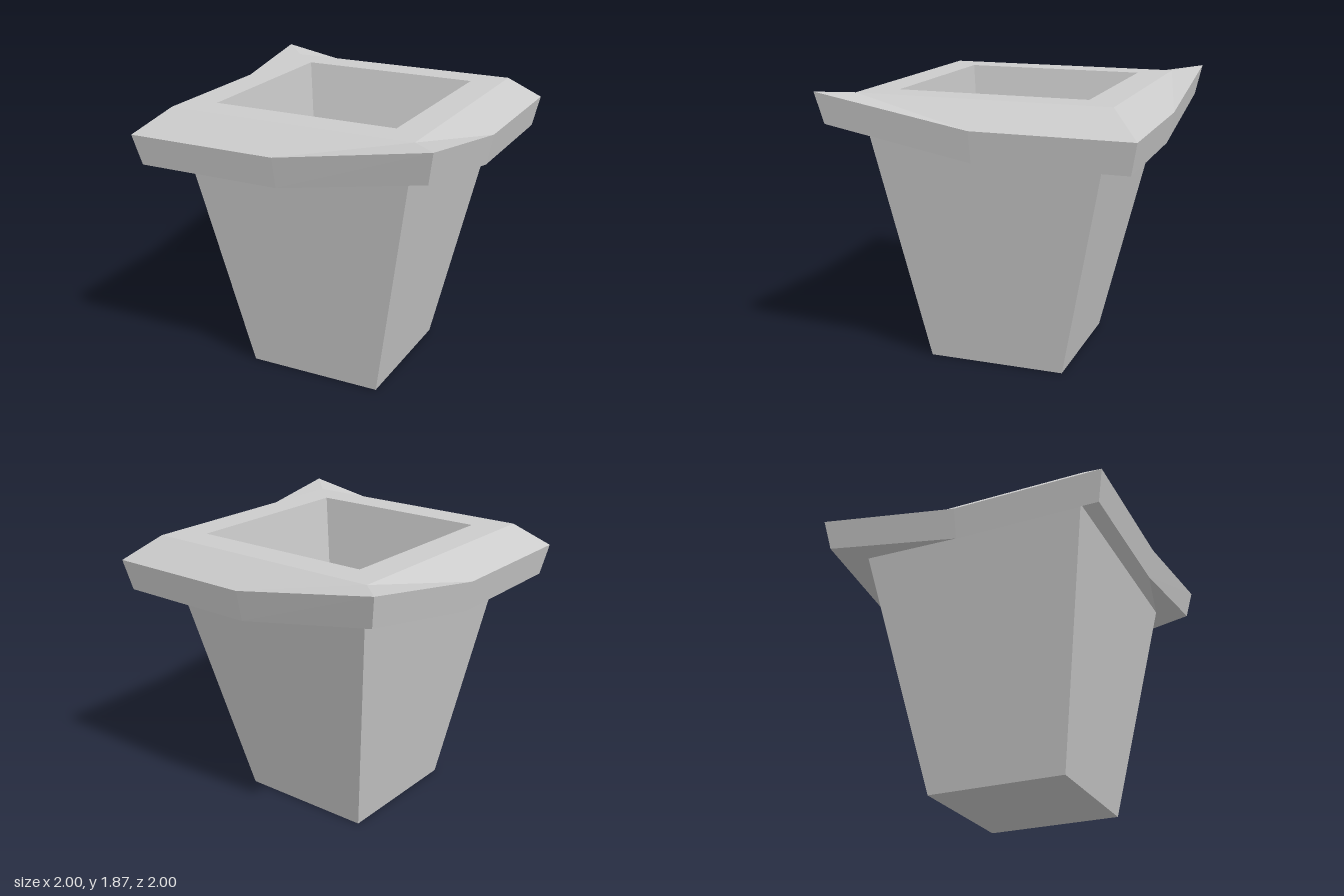
import * as THREE from 'three';

const V = (x, y, z) => new THREE.Vector3(x, y, z);

// Four corners, counter-clockwise from above, starting at front right
function rect(x0, x1, z0, z1, y) {
  return [V(x0, y, z1), V(x1, y, z1), V(x1, y, z0), V(x0, y, z0)];
}
const square = (s, y) => rect(-s, s, -s, s, y);

// Square ring whose corners 1 and 3 are lifted
function liftedRing(s, low, high) {
  return square(s, low).map((p, i) => V(p.x, i % 2 ? high : low, p.z));
}

function meshFrom(name, faces, material) {
  const pts = [];
  for (const f of faces)
    for (let i = 1; i < f.length - 1; i++) pts.push(f[0], f[i], f[i + 1]);
  const geo = new THREE.BufferGeometry().setFromPoints(pts);
  geo.computeVertexNormals();
  const mesh = new THREE.Mesh(geo, material);
  mesh.name = name;
  return mesh;
}

// Faces joining a lower ring to an upper ring, facing outward
function band(lower, upper) {
  return lower.map((p, i) => {
    const j = (i + 1) % 4;
    return [p, lower[j], upper[j], upper[i]];
  });
}

// Sloping collar between an outer lifted ring and a flat inner ring
function collar(outer, inner, low) {
  const faces = [];
  for (let i = 0; i < 4; i++) {
    const j = (i + 1) % 4;
    const A = outer[i], B = outer[j], a = inner[i], b = inner[j];
    const M = A.clone().lerp(B, 0.5).setY(low);
    if (i % 2 === 0) faces.push([A, M, b, a], [M, B, b]);
    else faces.push([A, M, a], [M, B, b, a]);
  }
  return faces;
}

export function createModel() {
  const group = new THREE.Group();
  const grey = new THREE.MeshStandardMaterial({ color: 0xcccccc });
  grey.name = 'plain grey';
  grey.flatShading = true;

  const topOuter = liftedRing(1, 1.69, 1.867);
  const topInner = square(0.815, 1.845);
  const lowOuter = liftedRing(0.96, 1.49, 1.665);
  const bodyTop = square(0.775, 1.645);
  const bodyBase = rect(-0.468, 0.455, -0.415, 0.513, 0);
  const hole = square(0.615, 1.845);
  const floor = rect(-0.42, 0.408, -0.372, 0.458, 0.19);

  // Tapered outside of the pot with its underside
  group.add(meshFrom('body', [...band(bodyBase, bodyTop), [...bodyBase].reverse()], grey));

  // Rim edge, bent at the middle of each side
  const edge = [];
  for (let i = 0; i < 4; i++) {
    const j = (i + 1) % 4;
    const m0 = lowOuter[i].clone().lerp(lowOuter[j], 0.5).setY(1.49);
    const m1 = topOuter[i].clone().lerp(topOuter[j], 0.5).setY(1.69);
    edge.push([lowOuter[i], m0, m1, topOuter[i]], [m0, lowOuter[j], topOuter[j], m1]);
  }
  group.add(meshFrom('rimEdge', edge, grey));

  // Sloping rim top, and the matching surface beneath it
  group.add(meshFrom('rimTop', collar(topOuter, topInner, 1.69), grey));
  const under = collar(lowOuter, bodyTop, 1.49).map((f) => f.reverse());
  group.add(meshFrom('rimUnderside', under, grey));

  // Flat lip around the opening
  group.add(meshFrom('lip', band(topInner, hole), grey));

  // Hollow inside with its floor
  group.add(meshFrom('cavity', [...band(hole, floor), floor], grey));

  return group;
}
